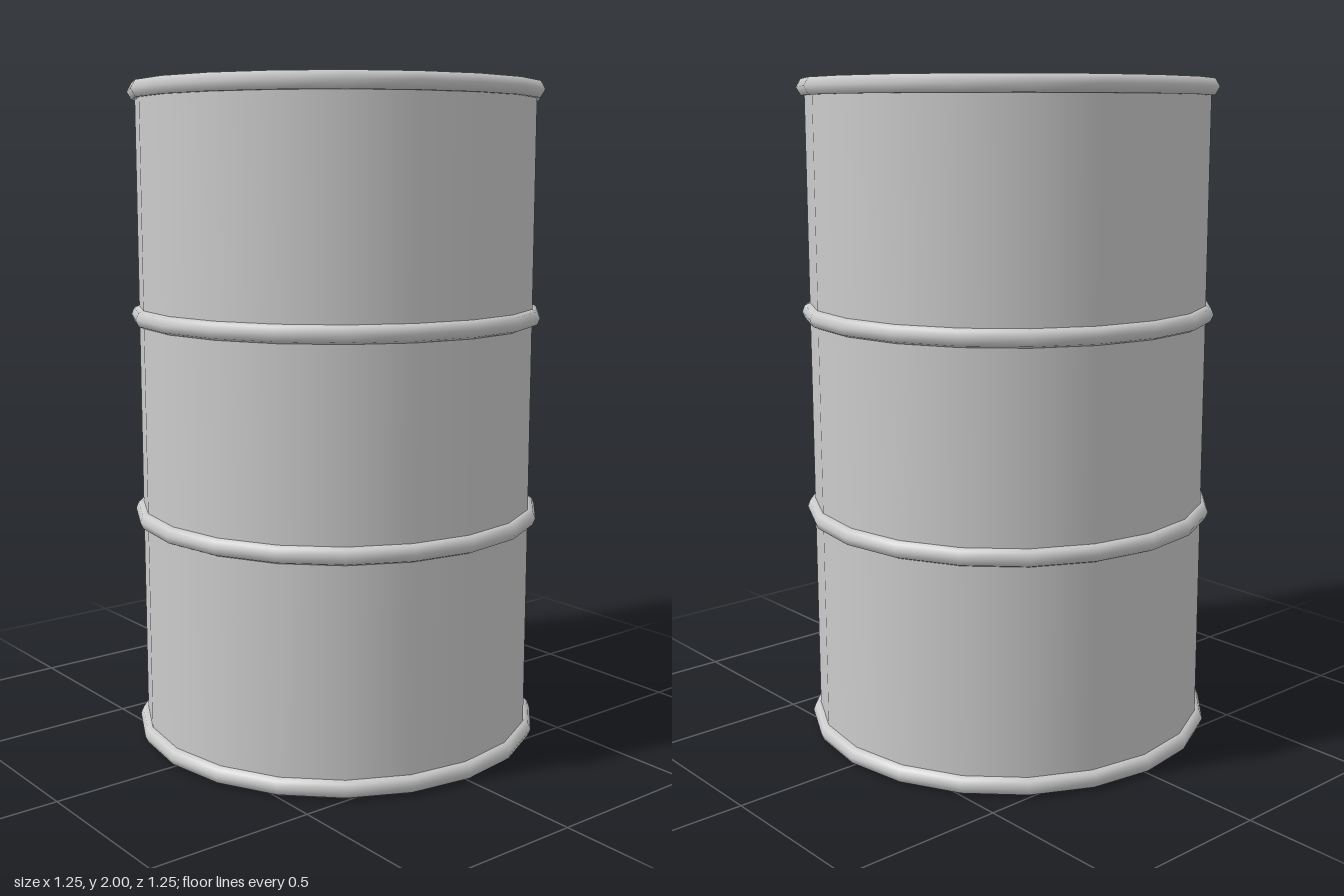
import * as THREE from 'three';

const SIDES = 20;
const BODY_RADIUS = 0.603;
const LID_Y = 1.96;

export function createModel() {
  const drum = new THREE.Group();
  drum.name = 'drum';
  const material = new THREE.MeshStandardMaterial({ color: 0xcccccc });

  const add = (name, geometry, x, y, z) => {
    const mesh = new THREE.Mesh(geometry, material);
    mesh.name = name;
    mesh.position.set(x, y, z);
    drum.add(mesh);
  };

  // Closed shell: its top cap is the recessed lid
  add('body', new THREE.CylinderGeometry(BODY_RADIUS, BODY_RADIUS, LID_Y, SIDES), 0, LID_Y / 2, 0);

  // Raised rings: base rim, two rolling hoops and the sharper top rim
  const rings = [
    ['bottomRim', 0.028, 0.028, 8],
    ['lowerHoop', 0.703, 0.028, 8],
    ['upperHoop', 1.312, 0.028, 8],
    ['topRim', 1.976, 0.028, 6],
  ];
  for (const [name, y, tube, tubeSides] of rings) {
    const ring = new THREE.TorusGeometry(0.599, tube, tubeSides, SIDES).rotateX(Math.PI / 2);
    add(name, ring, 0, y, 0);
  }

  // Filler cap near the back of the lid
  add('fillerCap', new THREE.CylinderGeometry(0.086, 0.086, 0.04, 8), 0.024, LID_Y + 0.01, -0.38);

  return drum;
}
